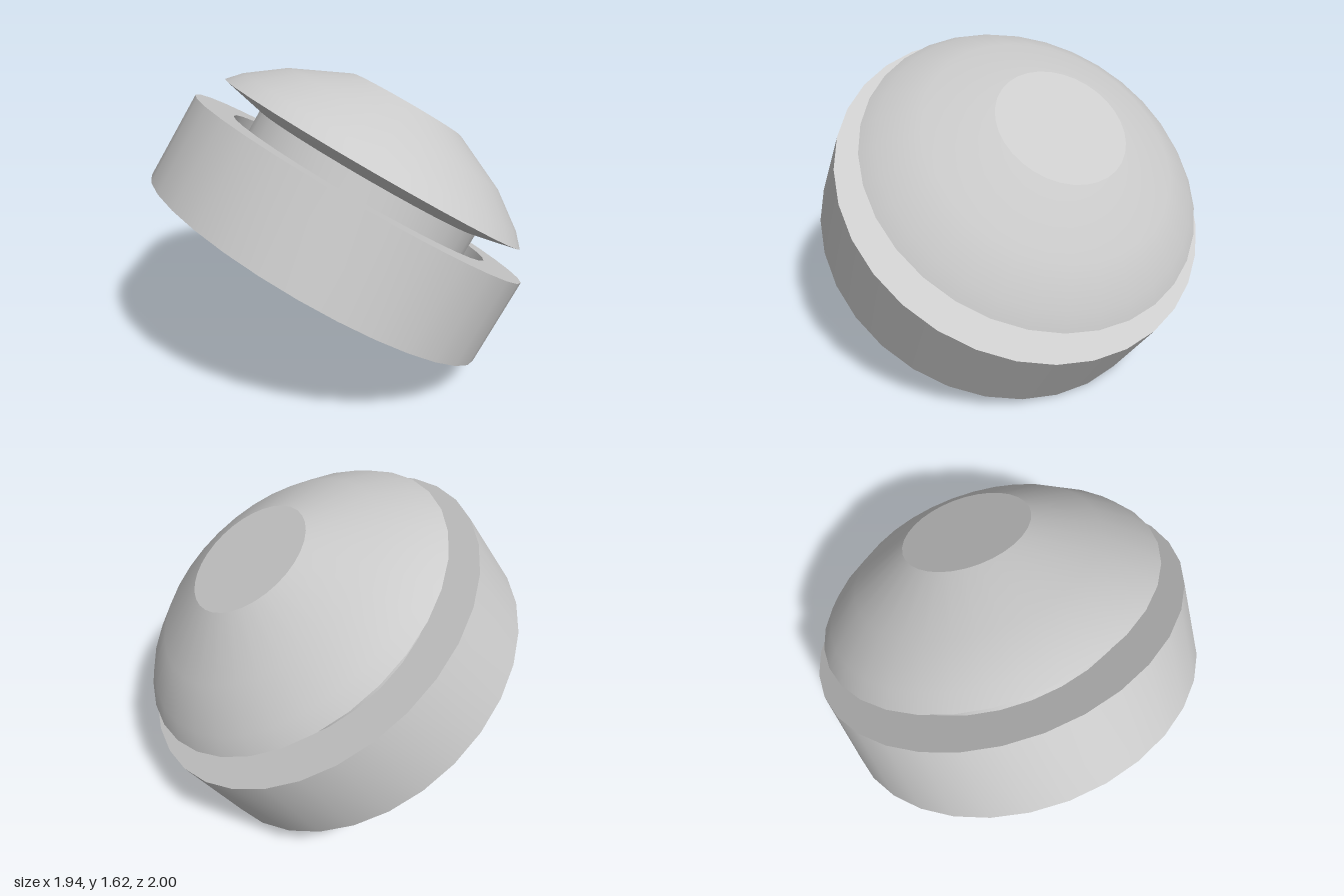
import * as THREE from 'three';
import { toCreasedNormals } from 'three/addons/utils/BufferGeometryUtils.js';

const material = new THREE.MeshStandardMaterial({ color: 0xcccccc });

// Turned part from a [radius, height] profile, running bottom to top on the outside
function turned(name, profile) {
  const points = profile.map(([r, y]) => new THREE.Vector2(r, y));
  const geometry = toCreasedNormals(new THREE.LatheGeometry(points, 32), THREE.MathUtils.degToRad(20));
  const mesh = new THREE.Mesh(geometry, material);
  mesh.name = name;
  return mesh;
}

export function createModel() {
  const button = new THREE.Group();
  button.name = 'tiltedButton';

  const top = 0.483; // height of the base
  const floor = 0.28; // floor of the recess around the stem

  // Drum-shaped base with a round recess in its top
  button.add(turned('base', [
    [0, 0], [1, 0], [1, top], [0.776, top], [0.776, floor], [0, floor],
  ]));

  // Stem joining the base and the cap
  button.add(turned('stem', [[0.67, floor], [0.67, top + 0.093]]));

  // Domed cap: conical underside, sharp rim, faceted dome and flat top
  button.add(turned('cap', [
    [0, top + 0.093], [0.67, top + 0.093], [0.907, top + 0.147], [0.84, top + 0.22],
    [0.65, top + 0.36], [0.335, top + 0.508], [0, top + 0.508],
  ]));

  // Lean the whole button towards +x, resting on its lower edge
  button.rotation.z = THREE.MathUtils.degToRad(-33.65);
  button.position.set(-0.134, 0.555, 0);

  const model = new THREE.Group();
  model.name = 'model';
  model.add(button);
  return model;
}
